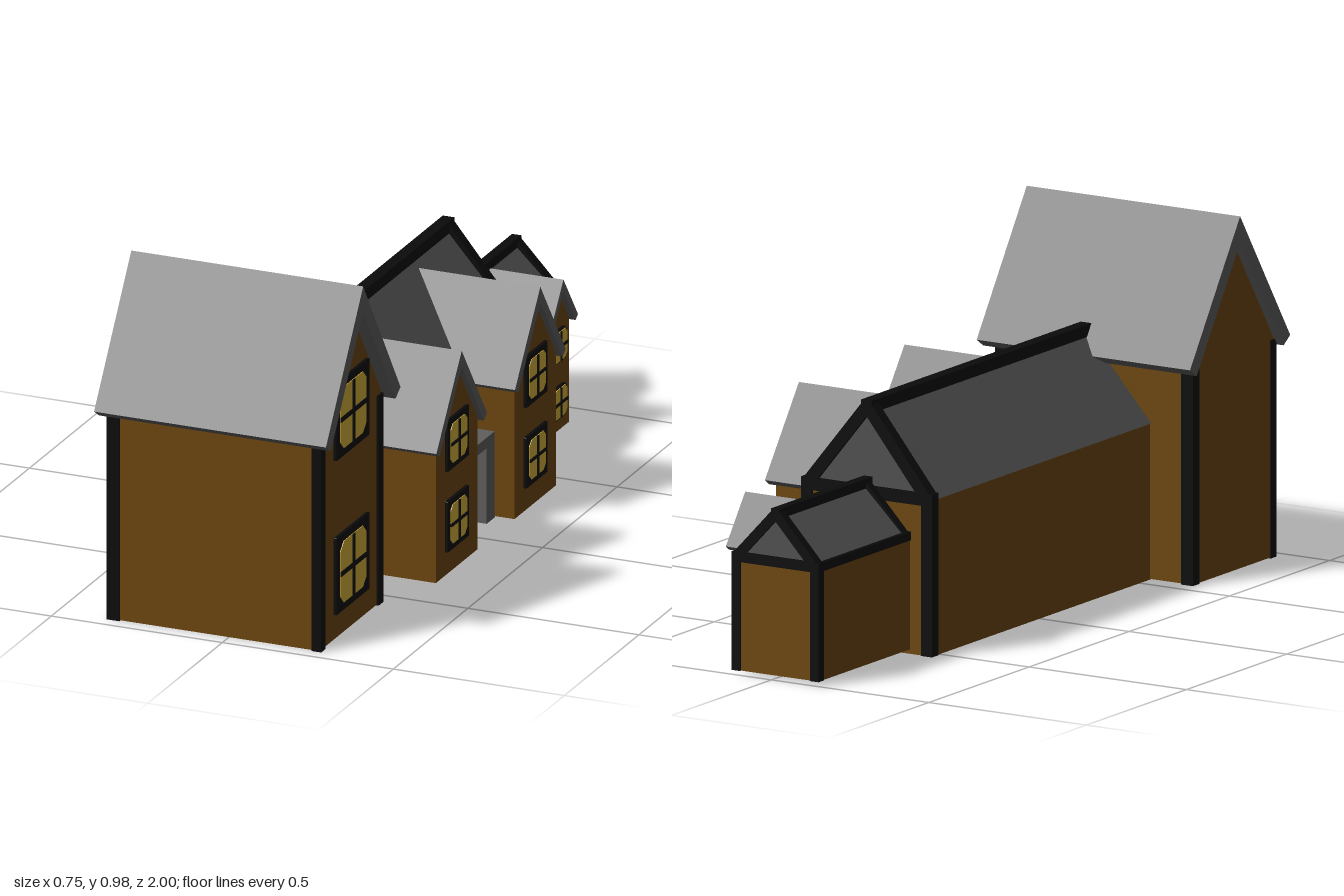
import * as THREE from 'three';

const mat = (name, color) => {
  const m = new THREE.MeshStandardMaterial({ color });
  m.name = name;
  return m;
};

export function createModel() {
  const wall = mat('brown wall', 0x6e470f);
  const slate = mat('light slate', 0x5e5e5e);
  const darkSlate = mat('dark slate', 0x505050);
  const timber = mat('black timber', 0x0b0b0b);
  const glass = mat('lit glass', 0xd2ae3a);
  const house = new THREE.Group();
  house.name = 'house';

  const add = (name, geometry, material, parent = house) => {
    const mesh = new THREE.Mesh(geometry, material);
    mesh.name = name;
    parent.add(mesh);
    return mesh;
  };
  // box given by its limits on each axis
  const box = (name, m, x0, x1, y0, y1, z0, z1, parent) => {
    const b = add(name, new THREE.BoxGeometry(x1 - x0, y1 - y0, z1 - z0), m, parent);
    b.position.set((x0 + x1) / 2, (y0 + y1) / 2, (z0 + z1) / 2);
    return b;
  };
  // square timber between two points
  const beam = (name, a, b, w = 0.03) => {
    const p = new THREE.Vector3(...a), q = new THREE.Vector3(...b);
    const t = add(name, new THREE.BoxGeometry(w, w, p.distanceTo(q)), timber);
    t.position.copy(p).add(q).multiplyScalar(0.5);
    t.lookAt(q);
  };
  const extrude = (pts, depth) => new THREE.ExtrudeGeometry(
    new THREE.Shape(pts.map(p => new THREE.Vector2(...p))), { depth, bevelEnabled: false });
  // section extruded along x, centred on zc
  const alongX = (name, m, pts, x0, x1, zc) => {
    const e = add(name, extrude(pts, x1 - x0), m);
    e.rotation.y = Math.PI / 2;
    e.position.set(x0, 0, zc);
  };
  const gable = (h, y0, shoulder, peak) => [[-h, y0], [h, y0], [h, shoulder], [0, peak], [-h, shoulder]];
  // two roof slabs of thickness t, joined at the ridge
  const chevron = (h, eave, peak, t) => {
    const len = Math.hypot(h, peak - eave);
    const dx = t * (peak - eave) / len, dy = t * h / len;
    return [[-h, eave], [-h + dx, eave - dy], [0, peak - t * len / h],
      [h - dx, eave - dy], [h, eave], [0, peak]];
  };

  // lit window facing +x, with chamfered glass and glazing bars
  const paneWindow = (name, x, y, z, w, h, border) => {
    const g = new THREE.Group();
    g.name = name;
    g.position.set(x, y, z);
    house.add(g);
    const a = w / 2 - border, b = h / 2 - border, c = Math.min(a, b) * 0.28;
    const oct = (p, q, k) => [[-p + k, -q], [p - k, -q], [p, -q + k], [p, q - k],
      [p - k, q], [-p + k, q], [-p, q - k], [-p, -q + k]];
    const framed = border > 0.01;
    const frame = add('windowFrame', extrude(
      oct(w / 2, h / 2, framed ? 0.001 : c), 0.009), timber, g);
    frame.rotation.y = Math.PI / 2;
    const pane = add('windowGlass', extrude(oct(a, b, c), 0.003), glass, g);
    pane.rotation.y = Math.PI / 2;
    pane.position.x = 0.008;
    const r = Math.max(0.004, w * 0.03);
    box('uprightBar', timber, 0.008, 0.014, -b, b, -r, r, g);
    box('crossBar', timber, 0.008, 0.014, -r, r, -a, a, g);
  };

  // tall front block
  alongX('frontBlockWalls', wall, gable(0.205, 0.002, 0.62, 0.93), -0.352, 0.267, 0.755);
  alongX('frontBlockRoof', slate, chevron(0.25, 0.605, 0.98, 0.04), -0.375, 0.303, 0.75);
  for (const [x0, x1] of [[-0.355, -0.317], [0.245, 0.273]])
    for (const [z0, z1] of [[0.545, 0.578], [0.935, 0.963]])
      box('frontBlockPost', timber, x0, x1, 0, 0.6, z0, z1);
  paneWindow('frontBlockUpperWindow', 0.267, 0.625, 0.757, 0.22, 0.22, 0.022);
  paneWindow('frontBlockLowerWindow', 0.267, 0.183, 0.757, 0.22, 0.22, 0.022);

  // long range: walls, solid roof and end frame
  const range = (name, xl, xr, y0, eave, peak, z0, z1, w) => {
    const xc = (xl + xr) / 2, zEnd = z0 + w / 2;
    box(name + 'Walls', wall, xl + 0.004, xr - 0.012, y0, eave, z0 + 0.006, z1);
    const roof = add(name + 'Roof', extrude([[xl, eave], [xr, eave], [xc, peak]], z1 - z0 - 0.01), darkSlate);
    roof.position.z = z0 + 0.01;
    beam(name + 'RidgeBeam', [xc, peak, z0], [xc, peak, z1], w);
    beam(name + 'RightEave', [xr - w / 2, eave, z0], [xr - w / 2, eave, z1], w * 0.8);
    beam(name + 'EndTie', [xl, eave, zEnd], [xr, eave, zEnd], w);
    for (const x of [xl, xr]) {
      const inner = x + Math.sign(xc - x) * w / 2;
      beam(name + 'Rafter', [inner, eave, zEnd], [xc, peak, zEnd], w);
      box(name + 'Post', timber, inner - w / 2, inner + w / 2, y0, eave, z0, z0 + w);
    }
  };
  range('main', -0.22, 0.196, 0, 0.43, 0.665, -0.545, 0.56, 0.034);
  range('wing', -0.15, 0.127, 0.012, 0.325, 0.458, -1, -0.53, 0.027);
  beam('wingLeftEave', [-0.138, 0.325, -1], [-0.138, 0.325, -0.54], 0.024);
  for (const x of [-0.138, 0.113])
    beam('wingInnerRafter', [x, 0.325, -0.556], [-0.012, 0.458, -0.556], 0.024);
  box('wingInnerPost', timber, 0.1, 0.127, 0.012, 0.325, -0.565, -0.54);

  // gabled bays on the main range
  for (const z of [0.25, -0.277]) {
    alongX('bayWalls', wall, gable(0.139, 0.012, 0.42, 0.605), 0.1, 0.358, z);
    alongX('bayRoof', slate, chevron(0.17, 0.395, 0.632, 0.026), 0.01, 0.373, z);
    paneWindow('bayUpperWindow', 0.358, 0.383, z + 0.008, 0.142, 0.145, 0.016);
    paneWindow('bayLowerWindow', 0.358, 0.152, z + 0.008, 0.142, 0.145, 0.016);
  }

  // small bay on the wing
  alongX('wingBayWalls', wall, gable(0.08, 0.014, 0.33, 0.435), 0.05, 0.2, -0.787);
  alongX('wingBayRoof', slate, chevron(0.097, 0.318, 0.45, 0.02), 0, 0.217, -0.79);
  for (const y of [0.26, 0.098])
    paneWindow('wingBayWindow', 0.2, y, -0.787, 0.092, 0.092, 0.004);

  // porch with recessed door
  box('porchLeftPier', slate, 0.17, 0.3, 0.008, 0.255, 0.05, 0.112);
  box('porchRightPier', slate, 0.17, 0.3, 0.008, 0.255, -0.14, -0.085);
  box('porchLintel', slate, 0.17, 0.3, 0.225, 0.255, -0.085, 0.05);
  box('doorFrame', timber, 0.18, 0.215, 0.008, 0.225, -0.085, 0.05);
  box('door', wall, 0.2, 0.222, 0.01, 0.212, -0.072, 0.038);
  paneWindow('doorWindow', 0.217, 0.165, -0.015, 0.09, 0.075, 0.004);
  const knob = add('doorKnob', new THREE.SphereGeometry(0.006, 10, 8), glass);
  knob.position.set(0.226, 0.1, -0.057);
  paneWindow('middleWindow', 0.188, 0.36, -0.012, 0.176, 0.15, 0.018);

  return house;
}
